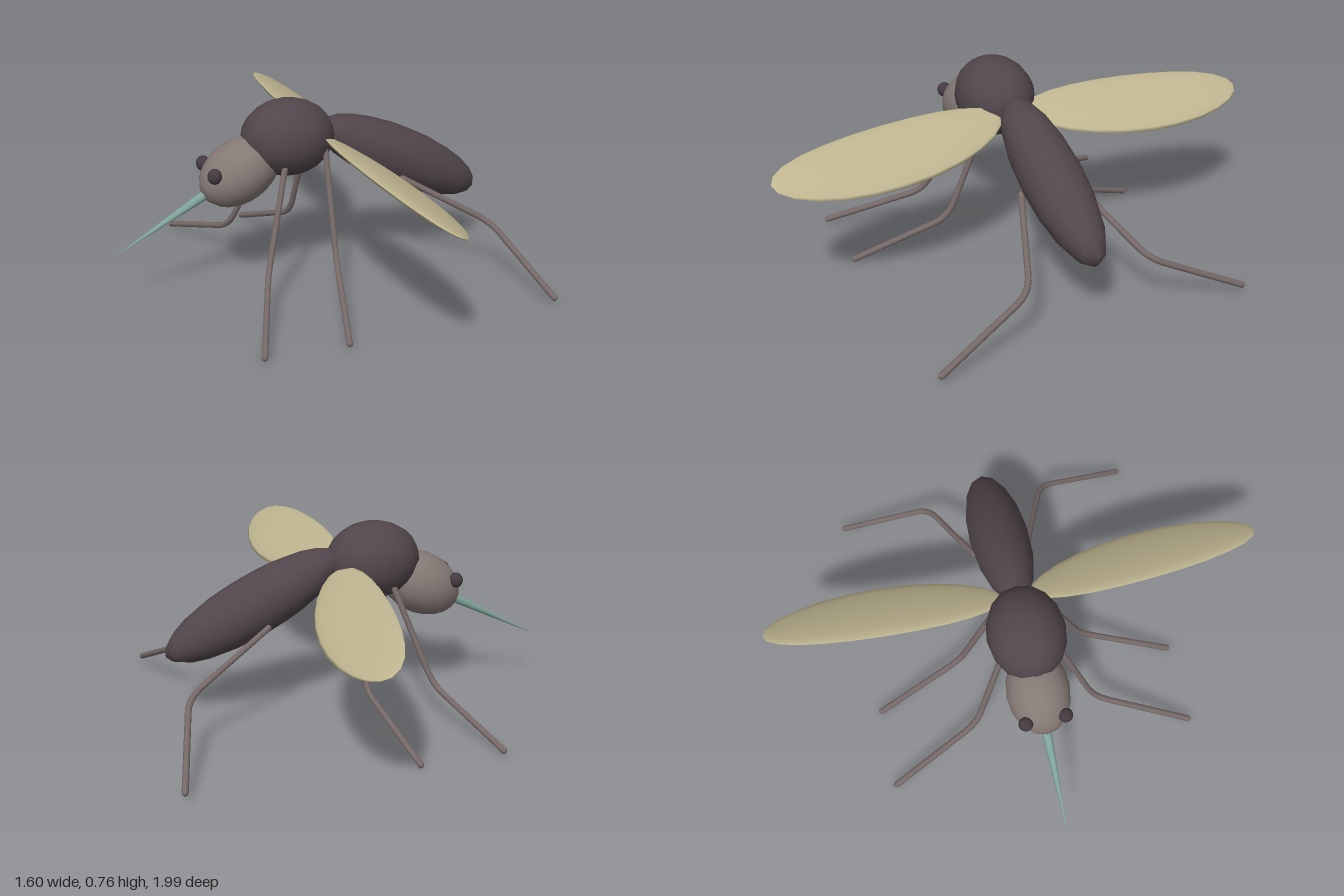
import * as THREE from 'three';

const mat = (name, color) => {
  const m = new THREE.MeshStandardMaterial({ color });
  m.name = name;
  return m;
};

export function createModel() {
  const group = new THREE.Group();
  const body = mat('dark body', 0x51464b);
  const headMat = mat('grey brown head', 0x857975);
  const legMat = mat('leg brown', 0x766a68);
  const wingMat = mat('pale wing', 0xbfb590);
  const beakMat = mat('teal proboscis', 0x7fa39a);
  const eyeMat = mat('dark eye', 0x443b40);

  const add = (name, geometry, material) => {
    const mesh = new THREE.Mesh(geometry, material);
    mesh.name = name;
    group.add(mesh);
    return mesh;
  };

  // Ellipsoid with given half sizes, tilted about z
  const ellipsoid = (name, material, pos, radii, tilt = 0) => {
    const mesh = add(name, new THREE.SphereGeometry(1, 16, 12), material);
    mesh.position.set(...pos);
    mesh.scale.set(...radii);
    mesh.rotation.z = tilt;
    return mesh;
  };

  // Body masses, head towards -x
  ellipsoid('thorax', body, [-0.085, 0.61, 0], [0.19, 0.155, 0.155]);
  ellipsoid('abdomen', body, [0.4, 0.465, 0], [0.4, 0.12, 0.12], -0.468);
  ellipsoid('head', headMat, [-0.286, 0.493, 0], [0.175, 0.125, 0.125], 0.52);

  // Proboscis: long cone pointing forward and down
  const tip = new THREE.Vector3(-0.8, 0.21, 0);
  const base = new THREE.Vector3(-0.36, 0.452, 0);
  const axis = tip.clone().sub(base);
  const beak = add('proboscis', new THREE.ConeGeometry(0.024, axis.length(), 12), beakMat);
  beak.position.copy(base).add(tip).multiplyScalar(0.5);
  beak.quaternion.setFromUnitVectors(new THREE.Vector3(0, 1, 0), axis.normalize());

  // Wing: flat ellipsoid bent gently backwards along its length
  const wing = (side) => {
    const g = new THREE.SphereGeometry(1, 16, 12).rotateX(Math.PI / 2);
    const p = g.attributes.position;
    for (let i = 0; i < p.count; i++) {
      const u = p.getZ(i) * side;
      p.setXYZ(i, p.getX(i) * 0.146 + 0.042 * u - 0.03 * u * u, p.getY(i) * 0.022, u * side * 0.47);
    }
    g.computeVertexNormals();
    const mesh = add(side > 0 ? 'rightWing' : 'leftWing', g, wingMat);
    mesh.position.set(0.146, 0.56, side * 0.525);
    mesh.rotation.z = -0.49;
  };

  // Leg: two straight segments joined by a rounded knee
  const leg = (name, side, root, knee, foot) => {
    const [a, k, f] = [root, knee, foot].map(([x, y, z]) => new THREE.Vector3(x, y, z * side));
    const k1 = k.clone().lerp(a, 0.17);
    const k2 = k.clone().lerp(f, 0.15);
    const path = new THREE.CurvePath();
    path.add(new THREE.LineCurve3(a, k1));
    path.add(new THREE.QuadraticBezierCurve3(k1, k, k2));
    path.add(new THREE.LineCurve3(k2, f));
    add(name, new THREE.TubeGeometry(path, 32, 0.0125, 8, false), legMat);
    for (const end of [a, f]) {
      add(name + 'End', new THREE.SphereGeometry(0.0125, 8, 6), legMat).position.copy(end);
    }
  };

  for (const side of [1, -1]) {
    ellipsoid('eye', eyeMat, [-0.411, 0.515, side * 0.078], [0.028, 0.031, 0.029]);
    wing(side);
    leg('frontLeg', side, [-0.135, 0.53, 0.11], [-0.26, 0.15, 0.25], [-0.41, 0.024, 0.63]);
    leg('middleLeg', side, [0.037, 0.57, 0.1], [0.02, 0.165, 0.26], [-0.08, 0.013, 0.63]);
    leg('hindLeg', side, [0.37, 0.407, 0.112], [0.71, 0.215, 0.25], [0.79, 0.035, 0.63]);
  }

  return group;
}
